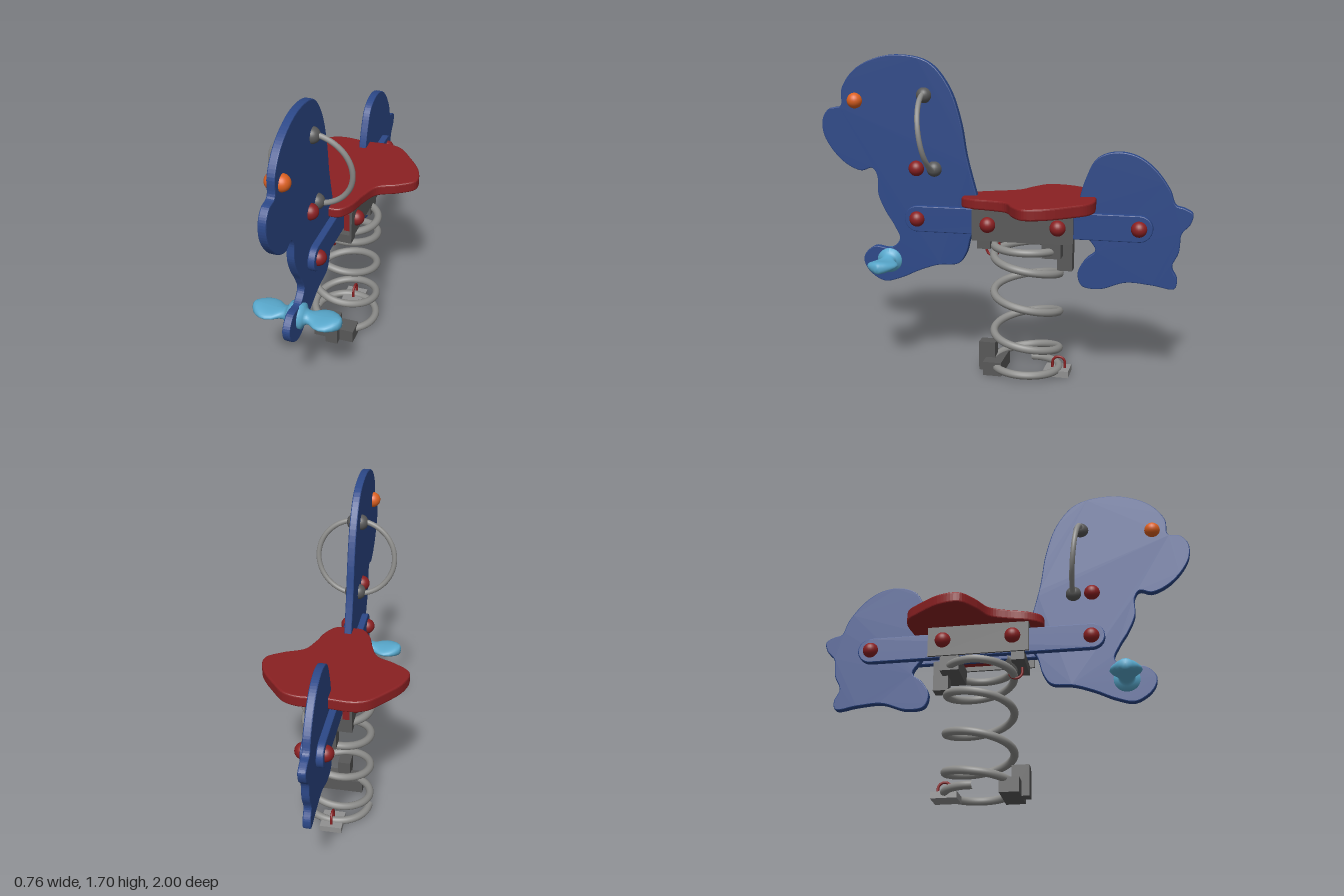
import * as THREE from 'three';

const mat = (name, color) => {
  const m = new THREE.MeshStandardMaterial({ color });
  m.name = name;
  return m;
};

export function createModel() {
  const root = new THREE.Group();
  const blue = mat('blue panel', 0x2c4888);
  const red = mat('red', 0x8a2022);
  const grey = mat('dark grey metal', 0x585858);
  const steel = mat('spring steel', 0x8c8c8a);
  const pale = mat('pale clamp', 0x909090);
  const cyan = mat('cyan footrest', 0x58a8cc);
  const orange = mat('orange eye', 0xdc6020);

  const add = (name, geo, material, x = 0, y = 0, z = 0) => {
    const m = new THREE.Mesh(geo, material);
    m.name = name;
    m.position.set(x, y, z);
    root.add(m);
    return m;
  };
  // box given by its limits
  const box = (name, material, x0, x1, y0, y1, z0, z1) =>
    add(name, new THREE.BoxGeometry(x1 - x0, y1 - y0, z1 - z0), material,
      (x0 + x1) / 2, (y0 + y1) / 2, (z0 + z1) / 2);
  // smooth closed outline through [u, v] points
  const outline = (pts, n) => new THREE.Shape(
    new THREE.CatmullRomCurve3(pts.map(([u, v]) => new THREE.Vector3(u, v, 0)), true)
      .getPoints(n).slice(0, -1).map(p => new THREE.Vector2(p.x, p.y)));
  // extrusion of a (z, y) shape, centred across x
  const slab = (shape, width, bevel) => {
    const g = new THREE.ExtrudeGeometry(shape, {
      depth: width - 2 * bevel, bevelThickness: bevel, bevelSize: bevel,
      bevelOffset: -bevel, bevelSegments: 2, curveSegments: 16,
    });
    return g.translate(0, 0, bevel - width / 2).rotateY(-Math.PI / 2);
  };

  // head and tail panels
  add('headPanel', slab(outline([
    [0.584, 1.70], [0.396, 1.665], [0.284, 1.537], [0.22, 1.355], [0.187, 1.168], [0.13, 0.953],
    [0.10, 0.85], [0.165, 0.745], [0.193, 0.648], [0.236, 0.589], [0.353, 0.573], [0.46, 0.536],
    [0.568, 0.487], [0.664, 0.466], [0.755, 0.525], [0.777, 0.595], [0.718, 0.659], [0.62, 0.655],
    [0.568, 0.707], [0.595, 0.777], [0.648, 0.862], [0.686, 0.953], [0.69, 1.055], [0.718, 1.093],
    [0.782, 1.077], [0.889, 1.13], [0.986, 1.26], [0.993, 1.355], [0.953, 1.41], [0.889, 1.425],
    [0.88, 1.516], [0.82, 1.607], [0.728, 1.666],
  ], 200), 0.04, 0.005), blue);
  add('tailPanel', slab(outline([
    [-0.60, 1.22], [-0.503, 1.184], [-0.45, 1.087], [-0.418, 0.98], [-0.405, 0.87], [-0.46, 0.77],
    [-0.503, 0.70], [-0.45, 0.648], [-0.412, 0.573], [-0.434, 0.505], [-0.53, 0.493], [-0.664, 0.536],
    [-0.798, 0.53], [-0.916, 0.518], [-0.927, 0.568], [-0.90, 0.632], [-0.932, 0.712], [-0.943, 0.809],
    [-0.986, 0.862], [-0.996, 0.916], [-0.953, 0.943], [-0.91, 0.957], [-0.878, 1.034], [-0.798, 1.14],
    [-0.707, 1.203],
  ], 160), 0.04, 0.005), blue);

  // seat with a slightly dished top, higher at the back
  const half = [[0.138, -0.51], [0.21, -0.485], [0.27, -0.42], [0.36, -0.29], [0.376, -0.183],
    [0.296, -0.114], [0.195, -0.06], [0.153, 0.03], [0.122, 0.135], [0.074, 0.2]];
  const seatPts = [[0, -0.503], ...half, [0, 0.207], ...half.map(([x, z]) => [-x, z]).reverse()]
    .map(([x, z]) => [x, -z]);
  const seat = new THREE.ExtrudeGeometry(outline(seatPts, 140), {
    depth: 0.034, bevelThickness: 0.01, bevelSize: 0.01, bevelOffset: -0.01, bevelSegments: 3,
  }).translate(0, 0, 0.01).rotateX(-Math.PI / 2);
  const p = seat.attributes.position;
  for (let i = 0; i < p.count; i++) {
    const tilt = 0.02 * (0.2 - p.getZ(i)) / 0.7;
    p.setY(i, p.getY(i) + 0.91 + tilt * (p.getY(i) > 0.025 ? 1 : 0.5));
  }
  seat.computeVertexNormals();
  add('seat', seat, red);

  const stadium = new THREE.Shape();
  stadium.absarc(0.455, 0.832, 0.07, -Math.PI / 2, Math.PI / 2);
  stadium.absarc(-0.73, 0.832, 0.07, Math.PI / 2, Math.PI * 1.5);
  const ball = new THREE.SphereGeometry(0.042, 24, 16);

  for (const s of [-1, 1]) {
    // beams and bracket
    add('beam', slab(stadium, 0.037, 0.005), blue, s * 0.0385);
    box('bracketPlate', grey, s * 0.115 - 0.006, s * 0.115 + 0.006, 0.745, 0.908, -0.40, 0.135);
    box('spacer', red, s * 0.088 - 0.021, s * 0.088 + 0.021, 0.77, 0.91, -0.37, 0.10);
    // bolt caps and eyes
    for (const z of [0.455, -0.73]) add('beamBolt', ball, red, s * 0.054, 0.832, z);
    for (const z of [0.05, -0.32]) add('bracketBolt', ball, red, s * 0.12, 0.832, z);
    add('panelBolt', ball, red, s * 0.02, 1.10, 0.465);
    add('eye', ball, orange, s * 0.02, 1.455, 0.805);
    for (const [y, z] of [[1.49, 0.418], [1.10, 0.366]])
      add('handleSocket', ball, grey, s * 0.016, y, z);
  }
  box('bracketTop', grey, -0.115, 0.115, 0.898, 0.912, -0.40, 0.135);

  // ring handle
  const ring = add('handle', new THREE.TorusGeometry(0.207, 0.014, 12, 64), steel, 0, 1.295, 0.391);
  ring.rotation.x = 0.136;

  // footrest: elliptical sections [x, half height, half depth], mirrored
  const sections = [[0.018, 0.066, 0.068], [0.034, 0.066, 0.068], [0.044, 0.045, 0.046],
    [0.06, 0.034, 0.04], [0.08, 0.025, 0.05], [0.11, 0.022, 0.074], [0.14, 0.024, 0.083],
    [0.17, 0.028, 0.078], [0.20, 0.032, 0.06], [0.222, 0.03, 0.036], [0.231, 0.02, 0.016], [0.232, 0.0005, 0.0005]];
  const rows = [...sections.map(([x, h, d]) => [-x, h, d]).reverse(), ...sections];
  const N = 32, pos = [], idx = [];
  rows.forEach(([x, h, d], r) => {
    for (let i = 0; i <= N; i++) {
      const a = i / N * Math.PI * 2;
      pos.push(x, h * Math.cos(a), d * Math.sin(a));
      if (r && i < N) {
        const b = r * (N + 1) + i, c = b - N - 1;
        idx.push(c, c + 1, b, c + 1, b + 1, b);
      }
    }
  });
  const foot = new THREE.BufferGeometry();
  foot.setAttribute('position', new THREE.Float32BufferAttribute(pos, 3));
  foot.setIndex(idx.reverse());
  // keep outward winding
  const v = k => new THREE.Vector3().fromArray(pos, idx[k + 150] * 3);
  const nrm = v(1).sub(v(0)).cross(v(2).sub(v(0)));
  if (nrm.dot(v(0).setX(0)) < 0) foot.setIndex(idx.reverse());
  foot.computeVertexNormals();
  add('footrest', foot, cyan, 0, 0.587, 0.625);

  // coil spring: height against number of turns, closed at both ends
  const keys = [[-1.1, 0.715], [-0.25, 0.69], [0, 0.66], [1, 0.46], [2, 0.24], [2.75, 0.095], [3.1, 0.045], [3.75, 0.025]];
  const coil = new THREE.CatmullRomCurve3();
  for (let t = -1.1; t <= 3.751; t += 0.05) {
    let k = 0;
    while (k < keys.length - 2 && t > keys[k + 1][0]) k++;
    const [t0, y0] = keys[k], [t1, y1] = keys[k + 1];
    const a = t * Math.PI * 2;
    coil.points.push(new THREE.Vector3(0.176 * Math.sin(a), y0 + (y1 - y0) * (t - t0) / (t1 - t0),
      -0.137 + 0.176 * Math.cos(a)));
  }
  add('spring', new THREE.TubeGeometry(coil, 360, 0.021, 12), steel);

  // spring clamps at the foot and under the bracket
  box('footClampPost', grey, -0.035, 0.035, 0, 0.16, 0.03, 0.12);
  box('footClampBar', grey, -0.115, 0.115, 0, 0.075, -0.02, 0.08);
  box('rearFootClamp', pale, -0.06, 0.06, 0, 0.035, -0.375, -0.24);
  box('frontTopClamp', grey, -0.11, 0.11, 0.70, 0.75, 0.04, 0.11);
  box('rearTopPost', grey, -0.035, 0.035, 0.585, 0.75, -0.385, -0.305);
  box('rearTopBar', grey, -0.11, 0.11, 0.665, 0.75, -0.335, -0.235);

  // U bolts over the spring wire
  const uBolt = new THREE.TorusGeometry(0.034, 0.007, 8, 24, Math.PI).rotateY(Math.PI / 2);
  add('footBolt', uBolt, red, 0, 0.062, -0.315);
  add('topBolt', uBolt, red, 0, 0.675, 0.05).rotation.x = Math.PI;
  for (const s of [-1, 1]) {
    const leg = new THREE.CylinderGeometry(0.007, 0.007, 0.05, 8);
    add('footBoltLeg', leg, red, 0, 0.04, -0.315 + s * 0.034);
    add('topBoltLeg', leg, red, 0, 0.695, 0.05 + s * 0.034);
  }
  return root;
}
